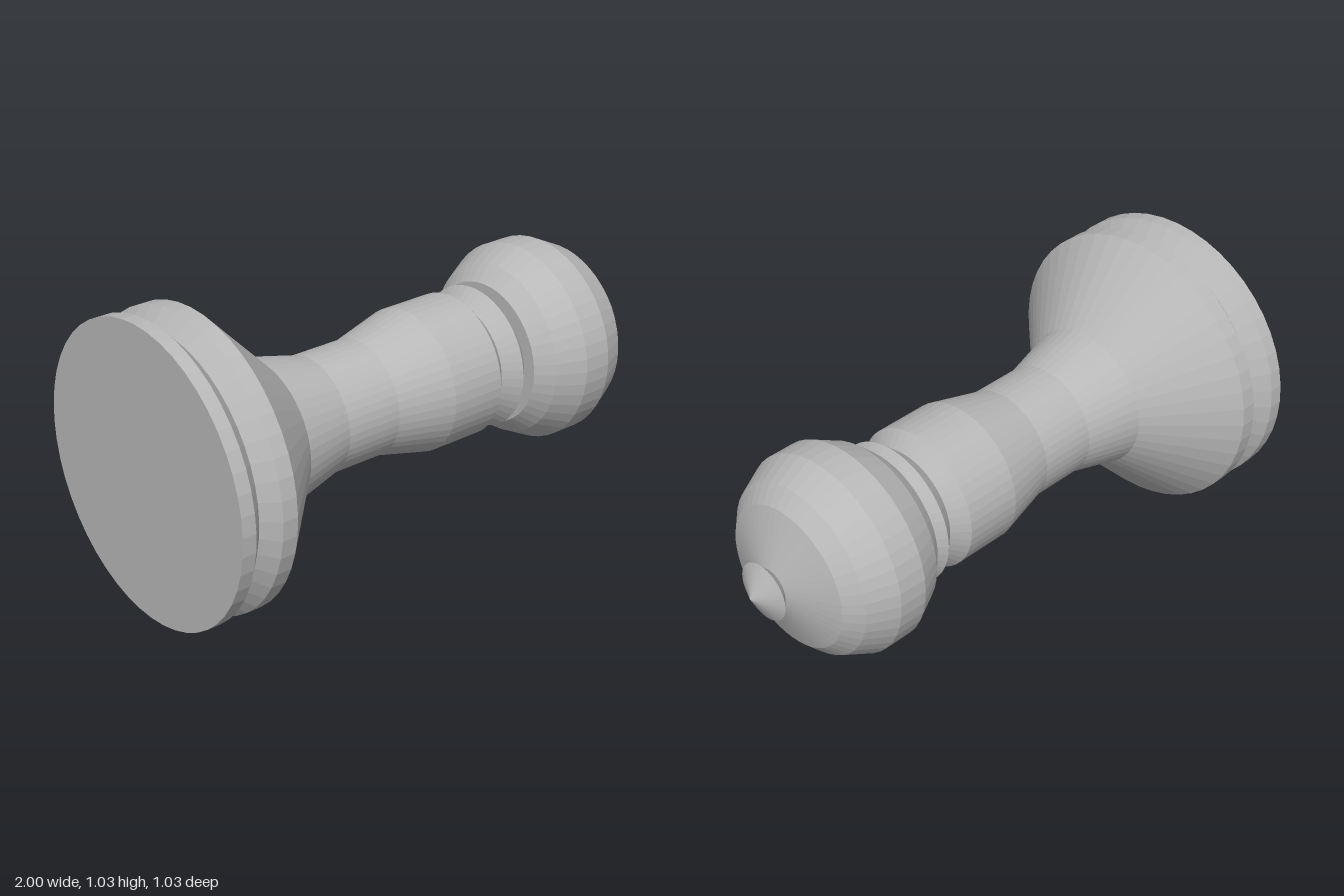
import * as THREE from 'three';

const SEGMENTS = 48;
const AXIS_HEIGHT = 0.513;

// Each profile lists [position along x, radius]
const PROFILES = {
  base: [[-1, 0], [-1, 0.513], [-0.95, 0.513], [-0.9, 0.46], [-0.85, 0.513], [-0.795, 0.513], [-0.54, 0.255]],
  shaft: [[-0.54, 0.255], [-0.34, 0.205], [-0.13, 0.205], [0.075, 0.255], [0.28, 0.255], [0.33, 0.205]],
  collar: [[0.33, 0.205], [0.385, 0.255], [0.435, 0.205]],
  head: [[0.435, 0.205], [0.435, 0.255], [0.49, 0.308], [0.588, 0.358], [0.692, 0.358], [0.795, 0.308], [0.845, 0.255], [0.915, 0.068]],
  finial: [[0.915, 0.068], [0.945, 0.103], [1, 0]],
};

export function createModel() {
  const group = new THREE.Group();
  group.name = 'turnedPiece';
  const grey = new THREE.MeshStandardMaterial({ color: 0xb8b8b8, flatShading: true });
  grey.name = 'grey';

  // Turn every part about the horizontal axis
  for (const [name, profile] of Object.entries(PROFILES)) {
    const points = profile.map(([x, r]) => new THREE.Vector2(r, x));
    const geometry = new THREE.LatheGeometry(points, SEGMENTS);
    geometry.rotateZ(-Math.PI / 2);
    geometry.translate(0, AXIS_HEIGHT, 0);
    const mesh = new THREE.Mesh(geometry, grey);
    mesh.name = name;
    group.add(mesh);
  }
  return group;
}
